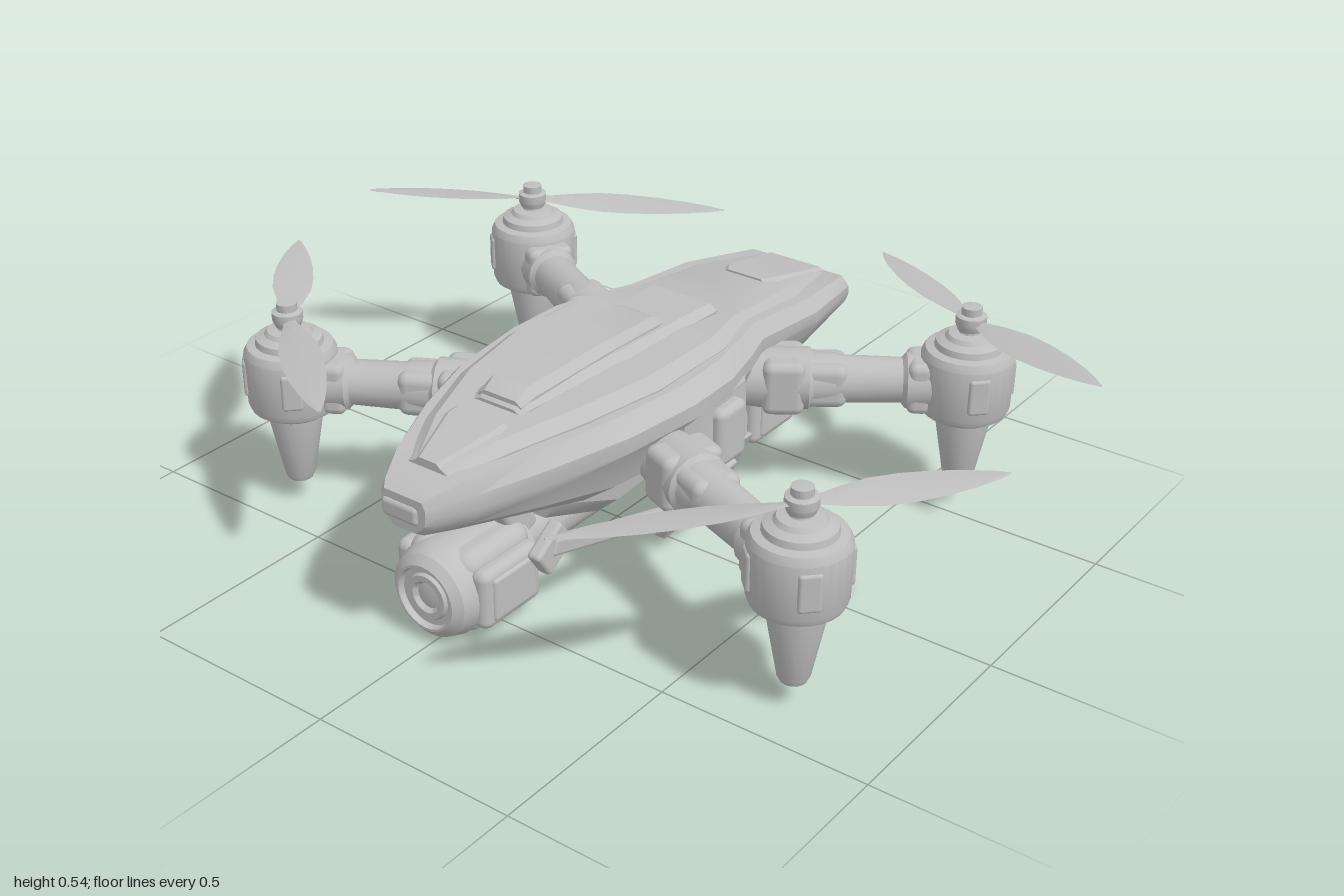
import * as THREE from 'three';
import { toCreasedNormals } from 'three/addons/utils/BufferGeometryUtils.js';
import { RoundedBoxGeometry } from 'three/addons/geometries/RoundedBoxGeometry.js';

const grey = new THREE.MeshStandardMaterial({ color: 0xbebebe });
grey.name = 'shell grey';

function add(parent, name, geometry, x = 0, y = 0, z = 0) {
  const m = new THREE.Mesh(geometry, grey);
  m.name = name;
  m.position.set(x, y, z);
  parent.add(m);
  return m;
}

// Closed skin over rings of [x, y, z]; rings run counter-clockwise, ordered along +z
function loft(rings, crease = 0.5) {
  const n = rings[0].length, pos = rings.flat(2), idx = [];
  for (let i = 0; i < rings.length - 1; i++) for (let j = 0; j < n; j++) {
    const a = i * n + j, b = i * n + (j + 1) % n;
    idx.push(a, b, a + n, b, b + n, a + n);
  }
  const e = (rings.length - 1) * n;
  for (let j = 1; j < n - 1; j++) idx.push(0, j + 1, j, e, e + j, e + j + 1);
  const g = new THREE.BufferGeometry();
  g.setAttribute('position', new THREE.Float32BufferAttribute(pos, 3));
  g.setIndex(idx);
  return toCreasedNormals(g, crease);
}

// Cross-section from half outline points [x, y], bottom to top, mirrored in x
const mirrored = (half, z) => [
  ...half.map(([x, y]) => [x, y, z]),
  ...half.slice().reverse().map(([x, y]) => [-x, y, z]),
];

// Revolved profile of [radius, height], standing on y
const lathe = (pts, sides = 28) => toCreasedNormals(
  new THREE.LatheGeometry(pts.map(p => new THREE.Vector2(...p)), sides), 0.5);

// Bevelled slab whose stations are [z, half width, base y, top y]
const slab = (stations, bevel = 0.02) => loft(stations.map(([z, w, b, t]) =>
  mirrored([[w, b], [w, b + (t - b) * 0.55], [Math.max(w - bevel, w * 0.5), t]], z)));

function buildBody(root) {
  const body = new THREE.Group();
  body.name = 'body';
  body.position.x = 0.015;
  root.add(body);

  // Hull: [z, half width, bottom, waist, top]
  const hull = [
    [-0.765, 0.125, 0.325, 0.355, 0.385], [-0.73, 0.155, 0.305, 0.36, 0.405],
    [-0.5, 0.205, 0.275, 0.385, 0.44], [-0.27, 0.205, 0.25, 0.4, 0.465],
    [-0.18, 0.235, 0.235, 0.4, 0.47], [-0.05, 0.27, 0.23, 0.405, 0.475],
    [0.1, 0.275, 0.23, 0.405, 0.475], [0.3, 0.248, 0.24, 0.4, 0.475],
    [0.48, 0.19, 0.28, 0.39, 0.465], [0.64, 0.12, 0.31, 0.38, 0.448],
    [0.72, 0.075, 0.325, 0.38, 0.425], [0.738, 0.06, 0.335, 0.38, 0.415],
  ];
  add(body, 'hull', loft(hull.map(([z, w, b, s, t]) => mirrored([
    [w * 0.5, b], [w * 0.84, b + (s - b) * 0.4], [w * 0.95, s - 0.02],
    [w, s], [w, s + (t - s) * 0.5], [w * 0.86, t]], z))));

  // Raised layers of the upper shell
  add(body, 'upperDeck', slab([
    [-0.72, 0.1, 0.39, 0.412], [-0.5, 0.15, 0.42, 0.453], [-0.25, 0.165, 0.44, 0.48],
    [-0.1, 0.21, 0.45, 0.497], [0.15, 0.215, 0.45, 0.503], [0.35, 0.18, 0.45, 0.5],
    [0.53, 0.12, 0.44, 0.485], [0.66, 0.06, 0.42, 0.455]], 0.03));
  add(body, 'topPanel', slab([
    [-0.25, 0.09, 0.47, 0.485], [-0.23, 0.1, 0.47, 0.505], [0.1, 0.1, 0.48, 0.519],
    [0.41, 0.075, 0.48, 0.514], [0.44, 0.065, 0.48, 0.5]]));
  add(body, 'topHump', slab([
    [-0.07, 0.065, 0.5, 0.52], [-0.04, 0.072, 0.5, 0.535], [0.15, 0.072, 0.5, 0.542],
    [0.39, 0.065, 0.49, 0.535], [0.43, 0.06, 0.49, 0.515]], 0.018));
  add(body, 'noseWindow', slab([
    [0.49, 0.075, 0.48, 0.496], [0.52, 0.075, 0.475, 0.494], [0.66, 0.035, 0.44, 0.462]], 0.012));
  add(body, 'tailPanel', slab([
    [-0.72, 0.085, 0.4, 0.416], [-0.52, 0.075, 0.44, 0.457], [-0.49, 0.06, 0.44, 0.459]], 0.012));
  add(body, 'noseSensor', new RoundedBoxGeometry(0.1, 0.045, 0.04, 2, 0.012), -0.01, 0.375, 0.725);
  add(body, 'tailLight', new RoundedBoxGeometry(0.2, 0.03, 0.02, 2, 0.008), 0, 0.355, -0.762);

  // Underside keel
  add(body, 'keel', loft([[-0.34, 0.09, 0.2], [-0.2, 0.14, 0.17], [0.2, 0.14, 0.15], [0.36, 0.1, 0.2]]
    .map(([z, w, b]) => mirrored([[w * 0.6, b], [w, b + 0.05], [w * 1.1, 0.31]], z))));

  // Shoulders between hull and fins: [z, half width at base, half width at top]
  add(body, 'shoulders', loft([[-0.15, 0.235, 0.235], [-0.11, 0.275, 0.265], [0.08, 0.28, 0.275], [0.12, 0.25, 0.265]]
    .map(([z, b, t]) => mirrored([[b * 0.9, 0.235], [b, 0.26], [t, 0.41]], z))));

  for (const s of [-1, 1]) {
    add(body, 'sideVent', new RoundedBoxGeometry(0.07, 0.145, 0.105, 2, 0.02), s * 0.264, 0.32, -0.025);
    // Landing fin, leaning inward and tapering down
    const fin = new THREE.BoxGeometry(0.045, 0.24, 0.24, 1, 4, 1);
    const p = fin.attributes.position;
    for (let i = 0; i < p.count; i++) {
      const t = 0.5 - p.getY(i) / 0.24;
      p.setX(i, p.getX(i) * (1 - 0.4 * t) - s * (0.09 * t + 0.02 * t * t));
      p.setZ(i, p.getZ(i) * (1 - 0.4 * t) - 0.015 * t);
    }
    add(body, 'landingFin', toCreasedNormals(fin, 0.5), s * 0.262, 0.155, 0);
    add(body, 'finPad', new RoundedBoxGeometry(0.02, 0.15, 0.15, 2, 0.009), s * 0.235, 0.155, -0.005)
      .rotation.z = -s * 0.44;
    // Diagonal brace from nose bracket to fin
    const bracket = add(body, 'braceBracket', new RoundedBoxGeometry(0.035, 0.075, 0.1, 2, 0.01), s * 0.19, 0.245, 0.5);
    bracket.rotation.x = 0.6;
    const brace = new RoundedBoxGeometry(0.022, 0.04, 0.46, 2, 0.008);
    add(body, 'brace', brace, s * 0.185, 0.18, 0.29).lookAt(s * 0.2 + 0.015, 0.25, 0.5);
  }
}

// Camera pod facing +z, mirrored to the back by rotation
function buildCamera(root, name, z, turn) {
  const cam = new THREE.Group();
  cam.name = name;
  cam.position.set(-0.012, 0.113, z);
  cam.rotation.y = turn;
  root.add(cam);
  add(cam, 'cameraBarrel', lathe([[0, -0.14], [0.08, -0.14], [0.105, -0.12], [0.112, -0.08],
    [0.112, 0.09], [0.1, 0.125], [0.08, 0.142], [0.074, 0.142], [0.07, 0.128], [0.056, 0.128],
    [0.052, 0.136], [0.038, 0.136], [0.03, 0.126], [0, 0.132]]).rotateX(Math.PI / 2));
  add(cam, 'cameraHousing', new RoundedBoxGeometry(0.19, 0.2, 0.22, 3, 0.04), 0, 0.005, -0.01);
  for (const s of [-1, 1]) {
    add(cam, 'gimbalPad', new RoundedBoxGeometry(0.05, 0.145, 0.19, 3, 0.022), s * 0.105, 0.005, -0.005);
    add(cam, 'gimbalCap', new RoundedBoxGeometry(0.02, 0.105, 0.14, 2, 0.009), s * 0.127, 0.005, -0.005);
  }
  // Mount linking the pod to the hull
  const mount = add(cam, 'gimbalMount', new RoundedBoxGeometry(0.13, 0.16, 0.08, 2, 0.015), 0, 0.12, -0.1);
  mount.rotation.x = 0.5;
}

function buildBlade(root, hub, tip) {
  const length = Math.hypot(tip[0] - hub[0], tip[1] - hub[1], tip[2] - hub[2]);
  const rings = [[0, 0.014], [0.08, 0.015], [0.2, 0.031], [0.35, 0.045], [0.5, 0.047],
    [0.65, 0.042], [0.8, 0.031], [0.92, 0.017], [1, 0.003]].map(([t, w]) => {
    const pitch = w * 0.2 * (1 - t * 0.6), h = 0.005 - 0.003 * t;
    return [[w, pitch, t * length], [0, h, t * length], [-w, -pitch, t * length], [0, -h, t * length]];
  });
  add(root, 'propellerBlade', loft(rings, 0.9), ...hub).lookAt(...tip);
}

// Arm, motor, leg and propeller; start and motor are [x, z], tips are [x, y, z]
function buildRotor(root, start, motor, tips) {
  const [mx, mz] = motor;
  const arm = new THREE.Group();
  arm.name = 'arm';
  arm.position.set(start[0], 0.328, start[1]);
  root.add(arm);
  arm.lookAt(mx, 0.328, mz);
  const len = Math.hypot(mx - start[0], mz - start[1]);
  add(arm, 'armTube', lathe([[0, -0.12], [0.06, -0.12], [0.074, 0], [0.074, 0.09], [0.064, 0.1],
    [0.062, 0.15], [0.057, 0.17], [0.054, len - 0.15], [0.066, len - 0.14], [0.068, len - 0.06],
    [0, len - 0.05]], 16).rotateX(Math.PI / 2));
  add(arm, 'armHinge', new RoundedBoxGeometry(0.15, 0.135, 0.1, 2, 0.022), 0, 0, 0.03);
  add(arm, 'armSleeve', new RoundedBoxGeometry(0.118, 0.11, 0.12, 2, 0.025), 0, 0, 0.12);
  add(arm, 'motorCollar', new RoundedBoxGeometry(0.12, 0.13, 0.06, 2, 0.02), 0, 0, len - 0.11);

  add(root, 'motorHousing', lathe([[0, 0.248], [0.085, 0.248], [0.1, 0.258], [0.107, 0.275],
    [0.109, 0.4], [0.1, 0.418], [0.08, 0.422], [0.077, 0.437], [0.057, 0.445],
    [0.05, 0.455], [0.026, 0.458], [0.022, 0.475], [0, 0.475]]), mx, 0, mz);
  add(root, 'landingLeg', lathe([[0, 0.062], [0.03, 0.062], [0.036, 0.075], [0.066, 0.235],
    [0.066, 0.26], [0, 0.26]], 16), mx, 0, mz);
  add(root, 'propellerHub', lathe([[0, 0.465], [0.03, 0.465], [0.036, 0.48], [0.036, 0.5],
    [0.024, 0.504], [0.024, 0.522], [0, 0.525]], 18), mx, 0, mz);
  // Ribs around the motor
  for (let i = 0; i < 4; i++) {
    const a = Math.PI / 4 + i * Math.PI / 2;
    const rib = add(root, 'motorRib', new RoundedBoxGeometry(0.05, 0.09, 0.02, 2, 0.008),
      mx + Math.sin(a) * 0.103, 0.34, mz + Math.cos(a) * 0.103);
    rib.rotation.y = a;
  }
  for (const tip of tips) buildBlade(root, [mx, 0.485, mz], tip);
}

export function createModel() {
  const root = new THREE.Group();
  root.name = 'quadcopter';
  buildBody(root);
  buildCamera(root, 'frontCamera', 0.522, 0);
  buildCamera(root, 'backCamera', -0.505, Math.PI);
  add(root, 'cameraRail', lathe([[0, -0.4], [0.06, -0.4], [0.068, -0.2], [0.068, 0.3], [0.06, 0.4],
    [0, 0.4]], 14).rotateX(Math.PI / 2), 0, 0.145, 0);

  buildRotor(root, [-0.24, -0.26], [-0.66, -0.5], [[-1, 0.505, -0.25], [-0.25, 0.46, -0.785]]);
  buildRotor(root, [0.23, -0.29], [0.605, -0.55], [[1, 0.505, -0.4], [0.22, 0.46, -0.805]]);
  buildRotor(root, [-0.27, 0.18], [-0.66, 0.39], [[-0.965, 0.475, 0.05], [-0.25, 0.505, 0.7]]);
  buildRotor(root, [0.3, 0.18], [0.735, 0.365], [[1, 0.475, 0], [0.44, 0.505, 0.8]]);
  return root;
}
